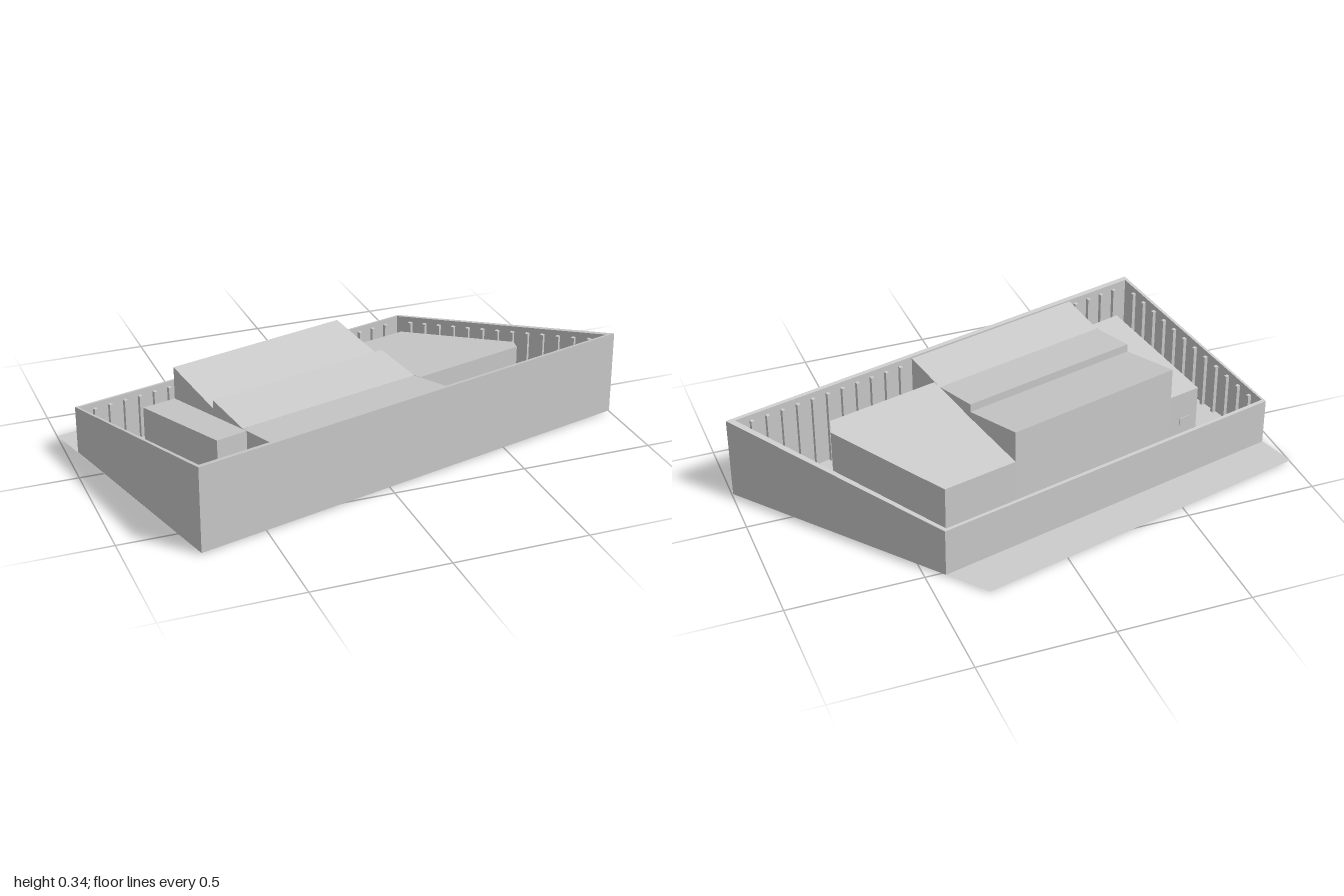
import * as THREE from 'three';

const mat = new THREE.MeshStandardMaterial({ color: 0xcccccc, flatShading: true });
const sheetMat = new THREE.MeshStandardMaterial({ color: 0xcccccc, side: THREE.DoubleSide });
const GROUND = 0.006;

// Distance along the site's downhill axis (front is positive)
const along = (x, z) => 0.25 * x + 0.968 * z;
const lerpTop = (d0, y0, d1, y1) => (x, z) => y0 + (y1 - y0) * (along(x, z) - d0) / (d1 - d0);
const toPlan = ([x, z]) => new THREE.Vector2(x, -z);

// Upright prism over a plan outline [x, z], with its top following a rule.
// A hole must run the opposite way round to the outline.
function prism(name, outline, top, hole) {
  const shape = new THREE.Shape(outline.map(toPlan));
  if (hole) shape.holes.push(new THREE.Path(hole.map(toPlan)));
  const geo = new THREE.ExtrudeGeometry(shape, { depth: 1, bevelEnabled: false });
  geo.rotateX(-Math.PI / 2);
  const p = geo.attributes.position;
  for (let i = 0; i < p.count; i++) {
    p.setY(i, p.getY(i) > 0.5 ? top(p.getX(i), p.getZ(i)) : GROUND);
  }
  geo.computeVertexNormals();
  const mesh = new THREE.Mesh(geo, mat);
  mesh.name = name;
  return mesh;
}

// Small box turned to line up with a plan direction
function block(name, x, y, z, w, h, d, angle) {
  const mesh = new THREE.Mesh(new THREE.BoxGeometry(w, h, d), mat);
  mesh.position.set(x, y, z);
  mesh.rotation.y = angle;
  mesh.name = name;
  return mesh;
}

export function createModel() {
  const group = new THREE.Group();
  group.name = 'walledSite';

  // Ground sheet, running past the back wall
  const plot = new THREE.Shape([[-1, -0.33], [0.32, -0.66], [0.99, 0.203], [-0.75, 0.655]].map(toPlan));
  const ground = new THREE.Mesh(new THREE.ShapeGeometry(plot).rotateX(-Math.PI / 2), sheetMat);
  ground.position.y = GROUND;
  ground.name = 'ground';
  group.add(ground);

  // Perimeter wall with a top that falls towards the back
  const wallTop = lerpTop(-0.405, 0.19, 0.441, 0.324);
  const outer = [[-0.96, -0.18], [0.43, -0.52], [0.997, 0.205], [-0.75, 0.658]];
  const inner = [[-0.948, -0.169], [0.421, -0.507], [0.965, 0.2], [-0.742, 0.636]];
  group.add(prism('perimeterWall', outer, wallTop, [...inner].reverse()));

  // Ribs on the inside of each wall, left out where the forecourt meets the front
  const ribs = new THREE.Group();
  ribs.name = 'wallRibs';
  inner.forEach(([ax, az], side) => {
    const [bx, bz] = inner[(side + 1) % 4];
    const length = Math.hypot(bx - ax, bz - az);
    const count = Math.round(length / 0.062);
    const nx = -(bz - az) / length, nz = (bx - ax) / length;
    for (let i = 1; i < count; i++) {
      const x = ax + (bx - ax) * i / count + nx * 0.007;
      const z = az + (bz - az) * i / count + nz * 0.007;
      if (side === 2 && x > -0.49 && x < 0.25) continue;
      const h = wallTop(x, z) - 0.02;
      ribs.add(block('rib', x, h / 2, z, 0.013, h, 0.015, Math.atan2(-(bz - az), bx - ax)));
    }
  });
  group.add(ribs);

  // Low wings, level with the sloping wall top
  const wingTop = (x, z) => wallTop(x, z) - 0.005;
  group.add(prism('rightWing',
    [[-0.745, -0.04], [-0.62, -0.07], [-0.505, 0.408], [-0.62, 0.44]], wingTop));
  group.add(prism('leftWing',
    [[0.07, -0.25], [0.36, -0.32], [0.655, 0.06], [0.64, 0.12], [0.205, 0.232]], wingTop));

  // Main block: rear roof falls forward to a step, front roof falls to the forecourt
  group.add(prism('rearRoofBlock',
    [[-0.62, -0.07], [0.07, -0.25], [0.145, 0.01], [-0.555, 0.19]],
    lerpTop(-0.224, 0.338, 0.045, 0.283)));
  group.add(prism('frontRoofBlock',
    [[-0.555, 0.19], [0.145, 0.01], [0.195, 0.2], [-0.51, 0.38]],
    lerpTop(0.045, 0.315, 0.24, 0.288)));

  // Forecourt joining the building to the front wall
  group.add(prism('forecourt',
    [[-0.51, 0.38], [0.195, 0.2], [0.243, 0.382], [-0.473, 0.566]], wingTop));

  // Small window frames on the right wing
  const sideAngle = Math.atan2(-0.968, 0.25);
  for (const [x, z] of [[-0.658, 0.295], [-0.631, 0.4]]) {
    group.add(block('sideWindow', x, 0.065, z, 0.06, 0.05, 0.006, sideAngle));
  }
  group.add(block('backWindow', -0.69, 0.09, -0.053, 0.05, 0.03, 0.006, Math.atan2(0.25, 0.968)));

  return group;
}
